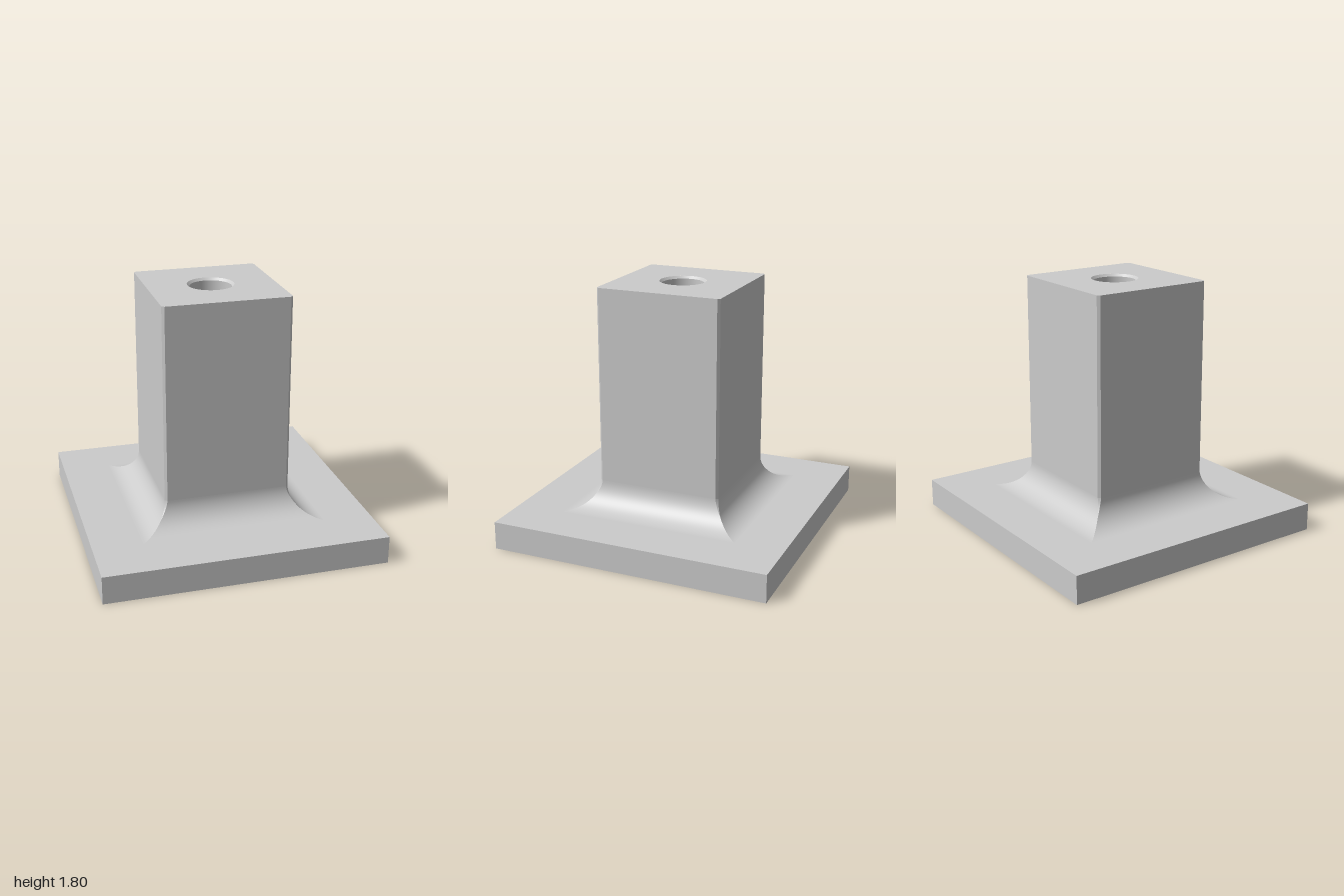
import * as THREE from 'three';
import { mergeGeometries } from 'three/addons/utils/BufferGeometryUtils.js';

const BASE = 1, BASE_TOP = 0.2, POST = 0.45, FILLET = 0.2, HEIGHT = 1.8;
const CHAMFER = 0.017, BORE = 0.148, RIM = 0.165, SEGMENTS = 64;

// Smooth strip between two edges, given as rows of [left point, right point] from bottom to top
function strip(rows) {
  const geo = new THREE.BufferGeometry();
  const index = [];
  for (let i = 0; i < rows.length - 1; i++) {
    const k = i * 2;
    index.push(k, k + 1, k + 3, k, k + 3, k + 2);
  }
  geo.setAttribute('position', new THREE.Float32BufferAttribute(rows.flat(2), 3));
  geo.setIndex(index);
  geo.computeVertexNormals();
  return geo;
}

// Four mirrored walls from a profile of [half width, height, corner chamfer]
function squareWalls(profile) {
  const parts = [];
  const face = strip(profile.map(([h, y, c]) => [[c - h, y, h], [h - c, y, h]]));
  const corner = strip(profile.map(([h, y, c]) => [[h - c, y, h], [h, y, h - c]]));
  const hasChamfer = profile.some((p) => p[2] > 0);
  for (let i = 0; i < 4; i++) {
    parts.push(face.clone().rotateY(i * Math.PI / 2));
    if (hasChamfer) parts.push(corner.clone().rotateY(i * Math.PI / 2));
  }
  return mergeGeometries(parts);
}

// Flat square with chamfered corners and a round hole
function squareCap(h, c, holeRadius) {
  const shape = new THREE.Shape();
  const corners = c > 0
    ? [[h, c - h], [h, h - c], [h - c, h], [c - h, h], [-h, h - c], [-h, c - h], [c - h, -h], [h - c, -h]]
    : [[h, -h], [h, h], [-h, h], [-h, -h]];
  shape.setFromPoints(corners.map(([x, y]) => new THREE.Vector2(x, y)));
  shape.holes.push(new THREE.Path().absarc(0, 0, holeRadius, 0, Math.PI * 2, true));
  return new THREE.ShapeGeometry(shape, SEGMENTS);
}

// Inward-facing ring of the hole, listed from top to bottom
function boreWall(r1, y1, r2, y2) {
  return new THREE.LatheGeometry([new THREE.Vector2(r1, y1), new THREE.Vector2(r2, y2)], SEGMENTS);
}

export function createModel() {
  const group = new THREE.Group();
  const material = new THREE.MeshStandardMaterial({ color: 0xcccccc });
  const add = (name, geometry) => {
    const mesh = new THREE.Mesh(geometry, material);
    mesh.name = name;
    group.add(mesh);
  };

  // Base plate
  const foot = POST + FILLET;
  add('baseSides', squareWalls([[BASE, 0, 0], [BASE, BASE_TOP, 0]]));
  add('baseTop', squareWalls([[BASE, BASE_TOP, 0], [foot, BASE_TOP, 0]]));
  add('baseBottom', squareCap(BASE, 0, BORE).rotateX(Math.PI / 2));

  // Concave fillet; the corner chamfer fades out on the way down
  const fillet = [];
  for (let i = 0; i <= 24; i++) {
    const a = (i / 24) * Math.PI / 2;
    const y = BASE_TOP + FILLET * (1 - Math.cos(a));
    const fade = THREE.MathUtils.clamp((y - 0.28) / 0.12, 0, 1);
    fillet.push([foot - FILLET * Math.sin(a), y, CHAMFER * fade]);
  }
  add('fillet', squareWalls(fillet));

  // Post
  add('postSides', squareWalls([[POST, BASE_TOP + FILLET, CHAMFER], [POST, HEIGHT, CHAMFER]]));
  add('postTop', squareCap(POST, CHAMFER, RIM).rotateX(-Math.PI / 2).translate(0, HEIGHT, 0));

  // Through hole with a chamfered rim
  const rimDepth = HEIGHT - (RIM - BORE);
  add('boreRim', boreWall(RIM, HEIGHT, BORE, rimDepth));
  add('bore', boreWall(BORE, rimDepth, BORE, 0));

  return group;
}
